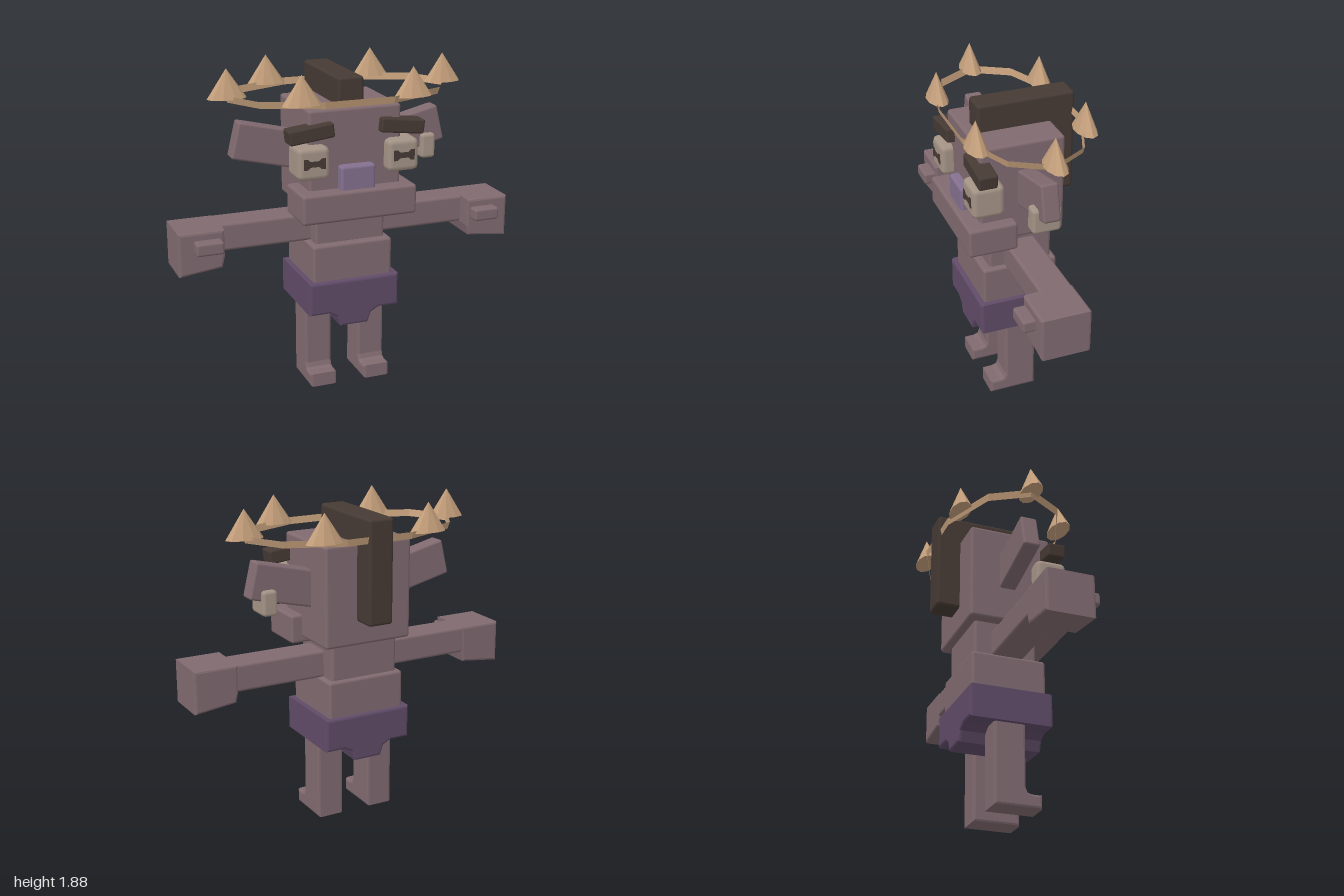
import * as THREE from 'three';
import { RoundedBoxGeometry } from 'three/addons/geometries/RoundedBoxGeometry.js';

const material = (name, color, side = THREE.FrontSide) => {
  const m = new THREE.MeshStandardMaterial({ color, side });
  m.name = name;
  return m;
};

export function createModel() {
  const model = new THREE.Group();
  model.name = 'creature';

  const skin = material('skin', 0x806a70);
  const shortsPurple = material('shorts purple', 0x604b68);
  const nosePurple = material('nose purple', 0x84708f);
  const darkBrown = material('dark brown', 0x463a34);
  const stone = material('stone beige', 0xa59487);
  const gold = material('tan gold', 0xc49f7b, THREE.DoubleSide);

  const add = (name, geometry, mat) => {
    const mesh = new THREE.Mesh(geometry, mat);
    mesh.name = name;
    model.add(mesh);
    return mesh;
  };

  // Rounded box given by its extents on each axis
  const box = (name, mat, [x0, x1], [y0, y1], [z0, z1], r = 0.018, seg = 2) => {
    const mesh = add(name, new RoundedBoxGeometry(x1 - x0, y1 - y0, z1 - z0, seg, r), mat);
    mesh.position.set((x0 + x1) / 2, (y0 + y1) / 2, (z0 + z1) / 2);
    return mesh;
  };

  // Bevelled extrusion of an outline between two depths
  const slab = (points, z0, z1, b = 0.014) => {
    const shape = new THREE.Shape(points.map(([x, y]) => new THREE.Vector2(x, y)));
    const g = new THREE.ExtrudeGeometry(shape, {
      depth: z1 - z0 - 2 * b, bevelEnabled: b > 0, bevelSize: b,
      bevelThickness: b, bevelOffset: -b, bevelSegments: 2,
    });
    return g.translate(0, 0, z0 + b);
  };

  // Extent mirrored to the chosen side
  const span = (s, a, b) => (s > 0 ? [a, b] : [-b, -a]);

  // Torso and head
  box('chest', skin, [-0.21, 0.21], [0.87, 1.11], [-0.175, 0.2]);
  box('belly', skin, [-0.24, 0.24], [0.64, 0.885], [-0.2, 0.245]);
  box('head', skin, [-0.272, 0.272], [1.09, 1.675], [-0.222, 0.272]);
  box('jaw', skin, [-0.338, 0.338], [1.055, 1.225], [0.075, 0.36]);
  box('nose', nosePurple, [-0.103, 0.103], [1.18, 1.36], [0.2, 0.325]);
  box('hairCrest', darkBrown, [-0.076, 0.076], [1.23, 1.83], [-0.36, 0.21]);

  // Shorts with a low middle flap
  add('shorts', slab([
    [-0.272, 0.67], [-0.272, 0.475], [-0.15, 0.475], [-0.105, 0.45], [-0.085, 0.39],
    [0.085, 0.39], [0.105, 0.45], [0.15, 0.475], [0.272, 0.475], [0.272, 0.67],
  ], -0.222, 0.272), shortsPurple);

  for (const s of [1, -1]) {
    const side = s > 0 ? 'left' : 'right';

    // Leg and foot in one side profile
    const leg = slab([
      [-0.07, 0], [0.21, 0], [0.21, 0.08], [0.15, 0.08], [0.125, 0.088],
      [0.115, 0.115], [0.115, 0.52], [-0.07, 0.52],
    ], -0.081, 0.081).rotateY(-Math.PI / 2);
    add(side + 'Leg', leg, skin).position.x = s * 0.166;

    // Arm, fist and thumb
    box(side + 'Arm', skin, span(s, 0.15, 0.9), [0.88, 1.04], [-0.073, 0.113]);
    add(side + 'Hand', slab([
      [0.74, 1.04], [1, 1.04], [1, 0.79], [0.755, 0.82], [0.74, 0.88],
    ].map(([x, y]) => [s * x, y]), -0.076, 0.207), skin);
    box(side + 'Thumb', skin, span(s, 0.76, 0.915), [0.923, 0.995], [0.17, 0.275], 0.014);

    // Ear tilted up and outward
    const ear = add(side + 'Ear', new RoundedBoxGeometry(0.5, 0.212, 0.1, 2, 0.014), skin);
    ear.position.set(s * 0.379, 1.431, 0.005);
    ear.rotation.z = s * 0.235;

    // Eye block with a dumbbell pupil plate
    box(side + 'Eye', stone, span(s, 0.17, 0.358), [1.3, 1.487], [0.155, 0.342], 0.032, 1);
    const pupil = slab([
      [-0.062, -0.03], [-0.04, -0.03], [-0.025, -0.016], [0.025, -0.016], [0.04, -0.03], [0.062, -0.03],
      [0.062, 0.03], [0.04, 0.03], [0.025, 0.016], [-0.025, 0.016], [-0.04, 0.03], [-0.062, 0.03],
    ], 0, 0.006, 0);
    add(side + 'Pupil', pupil, darkBrown).position.set(s * 0.264, 1.397, 0.339);

    // Eyebrow, higher at the inner end
    const brow = add(side + 'Eyebrow', new RoundedBoxGeometry(0.26, 0.082, 0.108, 2, 0.012), darkBrown);
    brow.position.set(s * 0.268, 1.555, 0.266);
    brow.rotation.z = -s * 0.12;
  }

  // Earring around the lower edge of the left ear
  box('earring', stone, [0.49, 0.58], [1.285, 1.432], [-0.077, 0.088], 0.02, 1);

  // Thin ten-sided oval crown band
  const band = new THREE.CylinderGeometry(0.66, 0.645, 0.04, 10, 1, true);
  band.rotateY(Math.PI / 2).scale(1, 1, 0.555);
  const flatBand = band.toNonIndexed();
  flatBand.computeVertexNormals();
  add('crownBand', flatBand, gold).position.y = 1.715;

  // Six flattened spikes spaced around the crown
  const spike = new THREE.ConeGeometry(0.113, 0.165, 10).rotateY(Math.PI / 2).scale(1, 1, 0.53).toNonIndexed();
  spike.computeVertexNormals();
  for (let i = 0; i < 6; i++) {
    const a = (i * Math.PI) / 3;
    add('crownSpike' + (i + 1), spike, gold)
      .position.set(0.648 * Math.cos(a), 1.802, 0.358 * Math.sin(a));
  }

  return model;
}
